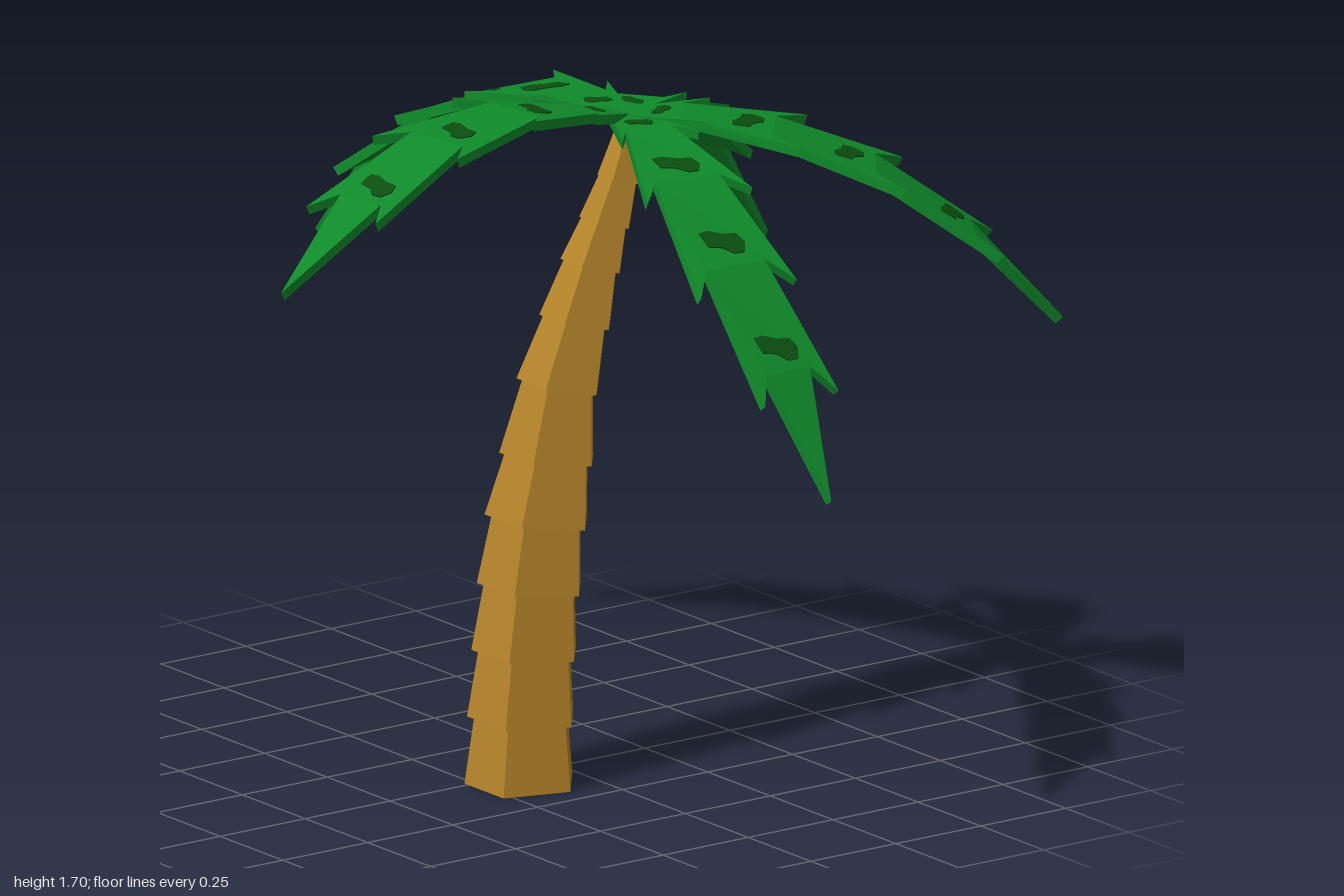
import * as THREE from 'three';
import { mergeGeometries } from 'three/addons/utils/BufferGeometryUtils.js';

const bark = new THREE.MeshStandardMaterial({ color: 0xb5842a });
bark.name = 'bark';
const leaf = new THREE.MeshStandardMaterial({ color: 0x0f8a2a });
leaf.name = 'leafGreen';
const spot = new THREE.MeshStandardMaterial({ color: 0x0b4f10 });
spot.name = 'darkLeafSpot';

const UP = new THREE.Vector3(0, 1, 0);
const CROWN = [0.14, 1.59, 0.05];

// Trunk rings: height, centre x, radius of the flared lower rim
const RINGS = [
  [0, -0.155, 0.133], [0.16, -0.15, 0.131], [0.32, -0.14, 0.129], [0.48, -0.125, 0.128],
  [0.64, -0.105, 0.126], [0.79, -0.075, 0.116], [0.96, -0.045, 0.1], [1.11, 0.005, 0.087],
  [1.24, 0.05, 0.074], [1.34, 0.09, 0.062], [1.44, 0.13, 0.052], [1.56, 0.17, 0.042],
];

function buildTrunk() {
  const trunk = new THREE.Group();
  trunk.name = 'trunk';
  for (let i = 0; i < RINGS.length - 1; i++) {
    const [y0, x0, r0] = RINGS[i];
    const [y1, x1, r1] = RINGS[i + 1];
    const tilt = (x1 - x0) / (y1 - y0);
    // Five-sided ring with a corner towards +x
    let g = new THREE.CylinderGeometry(r1 * 0.87, r0, 1, 5, 1, false, Math.PI / 2);
    const p = g.attributes.position;
    for (let k = 0; k < p.count; k++) {
      const t = p.getY(k) + 0.5;
      const lx = p.getX(k) * 1.08;
      const slope = i === 0 ? tilt * t : tilt; // the foot stays level
      p.setXYZ(k,
        x0 + (x1 - x0) * t + lx,
        y0 + (y1 - y0) * t + (t > 0.5 ? 0.008 : 0) - lx * slope * 0.7,
        0.065 + p.getZ(k));
    }
    g = g.toNonIndexed();
    g.computeVertexNormals();
    const ring = new THREE.Mesh(g, bark);
    ring.name = 'trunkRing' + (i + 1);
    trunk.add(ring);
  }
  return trunk;
}

// Frond outline along its length: tooth tips, notches behind them, half widths
const NOTCH = [0, 0.12, 0.3, 0.51, 0.74, 1];
const INNER = [0.03, 0.06, 0.085, 0.085, 0.065, 0];
const TIP = [0.17, 0.36, 0.57, 0.8];
const TIP_W = [0.1, 0.14, 0.14, 0.11];
const SPOT_U = [0.08, 0.25, 0.455, 0.69];
const THICK = 0.024;

// Bend an outline (along, across) into one straight section of the frond
function bend(points, thick, curve, section) {
  const a = NOTCH[section], b = NOTCH[section + 1];
  const A = curve.getPointAt(a), B = curve.getPointAt(b);
  const frameAt = (u) => {
    const T = curve.getTangentAt(u);
    const side = UP.clone().cross(T).normalize();
    return { side, normal: T.clone().cross(side) };
  };
  const FA = frameAt(a), FB = frameAt(b);
  const shape = new THREE.Shape(points.map(([u, w]) => new THREE.Vector2(u, w)));
  const g = new THREE.ExtrudeGeometry(shape, { depth: thick, bevelEnabled: false });
  const p = g.attributes.position;
  for (let k = 0; k < p.count; k++) {
    const s = (p.getX(k) - a) / (b - a);
    const f = Math.min(s, 1);
    const side = FA.side.clone().lerp(FB.side, f).normalize();
    const normal = FA.normal.clone().lerp(FB.normal, f).normalize();
    const v = A.clone().lerp(B, s)
      .addScaledVector(side, p.getY(k))
      .addScaledVector(normal, p.getZ(k) - thick / 2);
    p.setXYZ(k, v.x, v.y, v.z);
  }
  g.computeVertexNormals();
  return g;
}

function buildFrond(name, path) {
  const curve = new THREE.CatmullRomCurve3([CROWN, ...path].map((q) => new THREE.Vector3(...q)));
  const frond = new THREE.Group();
  frond.name = name;
  const blades = [], spots = [];
  for (let i = 0; i < 5; i++) {
    // Swept teeth on both edges, then the pointed end
    const a = NOTCH[i], n = NOTCH[i + 1], h = INNER[i], hn = INNER[i + 1];
    const outline = i < 4
      ? [[a, -h], [TIP[i], -TIP_W[i]], [n, -hn], [n, hn], [TIP[i], TIP_W[i]], [a, h]]
      : [[a, -h], [n, 0], [a, h]];
    blades.push(bend(outline, THICK, curve, i));
    // Comma-shaped dark spot showing on both faces
    if (i < 4) {
      const u = SPOT_U[i], m = i === 0 ? 0.6 : 1;
      const comma = [[-0.028, -0.05], [0.005, -0.045], [0.012, -0.01], [0.03, 0.015], [0.03, 0.042],
        [0.008, 0.056], [-0.014, 0.045], [-0.018, 0.01], [-0.03, -0.025]];
      spots.push(bend(comma.map(([x, y]) => [u + x * m, y * m]), THICK + 0.006, curve, i));
    }
  }
  const blade = new THREE.Mesh(mergeGeometries(blades), leaf);
  blade.name = 'frondBlade';
  const marks = new THREE.Mesh(mergeGeometries(spots), spot);
  marks.name = 'frondSpots';
  frond.add(blade, marks);
  return frond;
}

export function createModel() {
  const palm = new THREE.Group();
  palm.name = 'palmTree';
  palm.add(buildTrunk());
  const fronds = {
    rightFrond: [[-0.05, 1.64, 0.09], [-0.27, 1.675, 0.12], [-0.5, 1.645, 0.155], [-0.76, 1.55, 0.21], [-1, 1.39, 0.25]],
    backFrond: [[0.15, 1.595, -0.12], [0.14, 1.565, -0.34], [0.11, 1.48, -0.56], [0.065, 1.31, -0.8], [0.02, 1.08, -0.99]],
    backLeftFrond: [[0.25, 1.59, -0.03], [0.41, 1.53, -0.15], [0.58, 1.39, -0.28], [0.74, 1.15, -0.38], [0.86, 0.87, -0.47]],
    frontLeftFrond: [[0.27, 1.595, 0.16], [0.42, 1.56, 0.29], [0.6, 1.475, 0.43], [0.81, 1.3, 0.56], [0.99, 1.08, 0.65]],
    frontFrond: [[0.11, 1.585, 0.22], [0.07, 1.53, 0.4], [0.05, 1.38, 0.61], [0.06, 1.15, 0.82], [0.06, 0.87, 0.99]],
  };
  for (const [name, path] of Object.entries(fronds)) palm.add(buildFrond(name, path));
  return palm;
}
